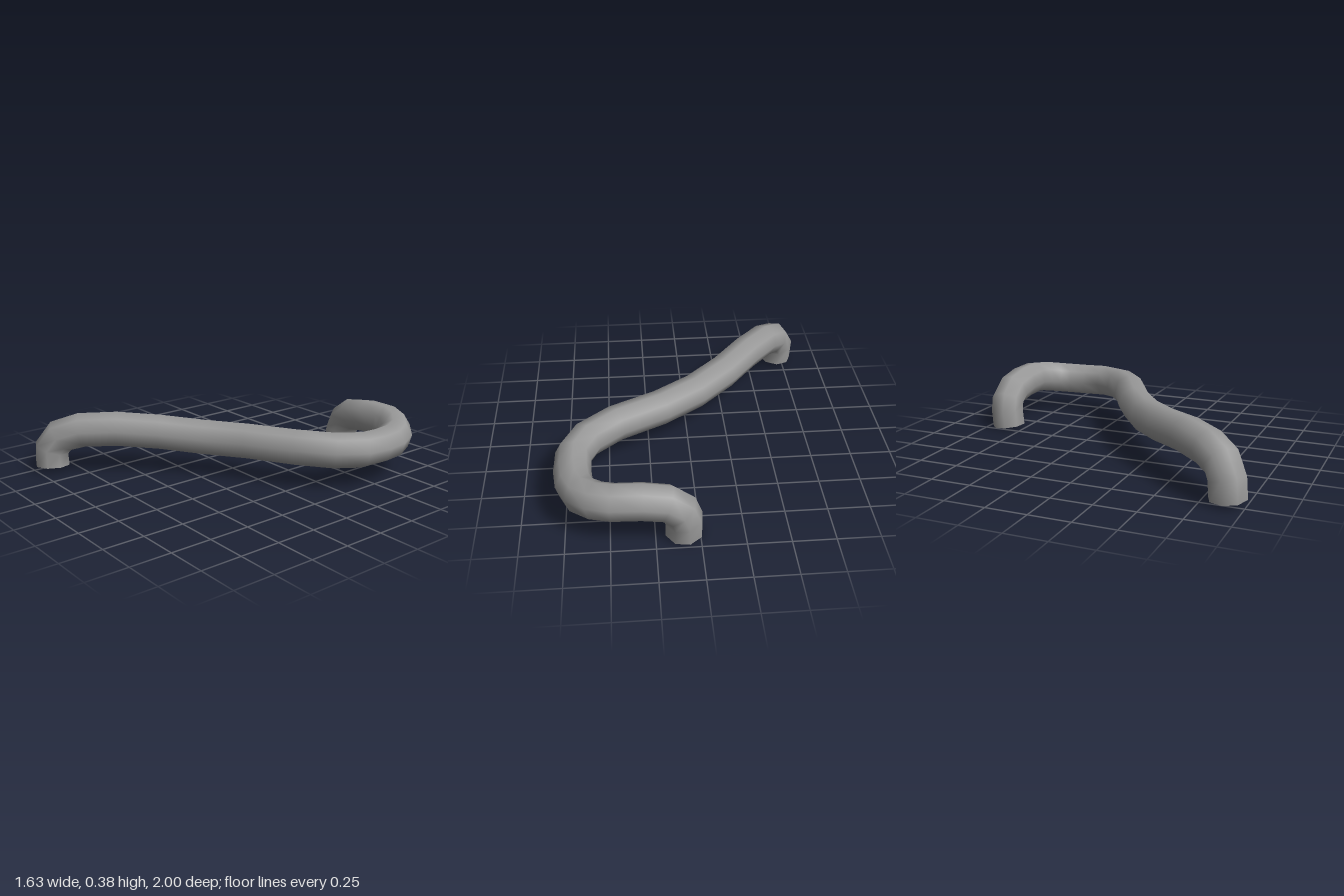
import * as THREE from 'three';

export function createModel() {
  const model = new THREE.Group();

  // Centreline of the pipe: front foot, long run, hooked bend, rear foot
  const path = [
    [-0.704, 0.033, 0.895], [-0.711, 0.14, 0.89], [-0.67, 0.22, 0.845],
    [-0.585, 0.26, 0.745], [-0.44, 0.27, 0.575], [-0.265, 0.253, 0.37],
    [-0.06, 0.234, 0.185], [0.17, 0.233, 0.02], [0.45, 0.236, -0.13],
    [0.625, 0.231, -0.275], [0.7, 0.224, -0.42], [0.703, 0.219, -0.56],
    [0.69, 0.22, -0.68], [0.65, 0.228, -0.775], [0.57, 0.246, -0.85],
    [0.475, 0.257, -0.887], [0.32, 0.255, -0.89], [0.185, 0.234, -0.89],
    [0.112, 0.18, -0.89], [0.09, 0.11, -0.885], [0.09, 0.012, -0.876],
  ].map(p => new THREE.Vector3(...p));

  // One ring of the tube at every path point
  const curve = new THREE.CatmullRomCurve3(path);
  curve.getPointAt = curve.getPoint;
  curve.getTangentAt = curve.getTangent;

  // Open-ended pipe, visible inside and out
  const pipe = new THREE.Mesh(
    new THREE.TubeGeometry(curve, path.length - 1, 0.109, 8, false),
    new THREE.MeshStandardMaterial({ color: 0x999999, side: THREE.DoubleSide })
  );
  pipe.name = 'bentPipe';
  model.add(pipe);
  return model;
}
